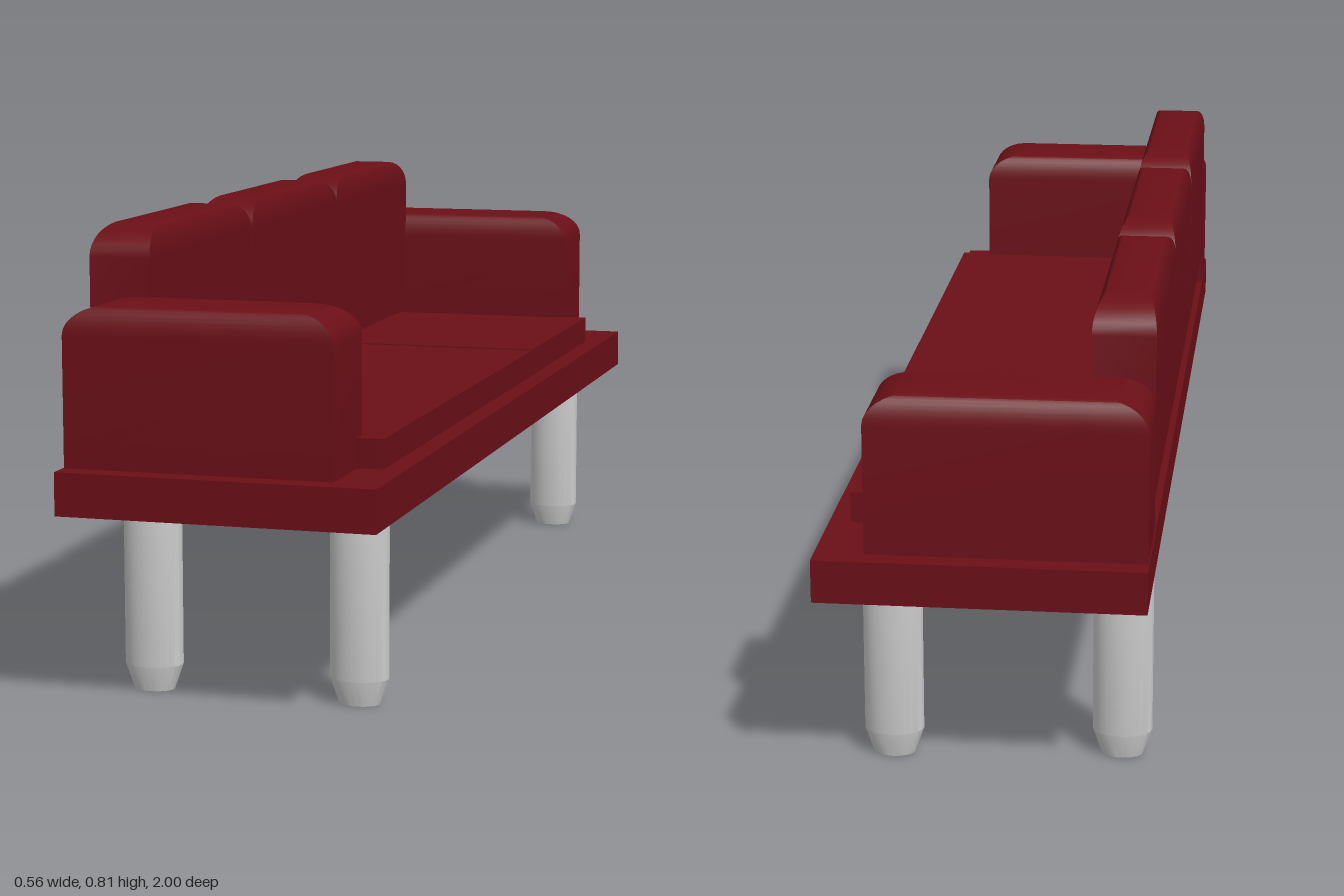
import * as THREE from 'three';
import { toCreasedNormals } from 'three/addons/utils/BufferGeometryUtils.js';

const red = new THREE.MeshStandardMaterial({ color: 0x6b0f17 });
const grey = new THREE.MeshStandardMaterial({ color: 0xcccccc });

// Plain box given by its [min, max] range on each axis
function block(name, [x0, x1], [y0, y1], [z0, z1]) {
  const mesh = new THREE.Mesh(new THREE.BoxGeometry(x1 - x0, y1 - y0, z1 - z0), red);
  mesh.position.set((x0 + x1) / 2, (y0 + y1) / 2, (z0 + z1) / 2);
  mesh.name = name;
  return mesh;
}

// Box whose top edges roll over elliptically; the upright edges stay sharp
function cushion(name, [x0, x1], [y0, y1], [z0, z1], rx, ry, rz) {
  const rows = 9, h = y1 - y0;
  const geo = new THREE.BoxGeometry(x1 - x0, h, z1 - z0, 1, rows, 1);
  const p = geo.attributes.position;
  for (let i = 0; i < p.count; i++) {
    const row = Math.round((p.getY(i) / h + 0.5) * rows);
    if (row === 0) continue;
    const a = ((row - 1) / (rows - 1)) * Math.PI / 2;
    const inset = 1 - Math.cos(a);
    p.setXYZ(i,
      p.getX(i) - Math.sign(p.getX(i)) * rx * inset,
      h / 2 - ry * (1 - Math.sin(a)),
      p.getZ(i) - Math.sign(p.getZ(i)) * rz * inset);
  }
  const mesh = new THREE.Mesh(toCreasedNormals(geo, 0.6), red);
  mesh.position.set((x0 + x1) / 2, (y0 + y1) / 2, (z0 + z1) / 2);
  mesh.name = name;
  return mesh;
}

export function createModel() {
  const sofa = new THREE.Group();
  sofa.name = 'sofa';

  // Base slab and the two seat pads
  sofa.add(block('base', [-0.28, 0.28], [0.34, 0.415], [-1, 1]));
  sofa.add(block('longSeat', [-0.25, 0.243], [0.415, 0.467], [-0.28, 0.825]));
  sofa.add(block('shortSeat', [-0.25, 0.243], [0.415, 0.469], [-0.812, -0.282]));

  // Armrests
  for (const z of [[0.794, 0.96], [-0.963, -0.797]])
    sofa.add(cushion('armrest', [-0.278, 0.196], [0.415, 0.692], z, 0.08, 0.052, 0.028));

  // Three back cushions, just clear of the seat
  for (const z of [[0.284, 0.83], [-0.268, 0.278], [-0.805, -0.268]])
    sofa.add(cushion('backCushion', [-0.278, -0.169], [0.474, 0.813], z, 0.021, 0.054, 0.1));

  // Oval legs with tapered feet
  const profile = [[0, 0], [0.7, 0], [1, 0.045], [1, 0.34]].map(([r, y]) => new THREE.Vector2(r, y));
  const legGeo = new THREE.LatheGeometry(profile, 24);
  legGeo.scale(0.052, 1, 0.039);
  const legShape = toCreasedNormals(legGeo, 0.3);
  for (const [x, z] of [[-0.183, 0.791], [0.191, 0.791], [-0.226, -0.794], [0.17, -0.827]]) {
    const leg = new THREE.Mesh(legShape, grey);
    leg.position.set(x, 0, z);
    leg.name = 'leg';
    sofa.add(leg);
  }
  return sofa;
}
